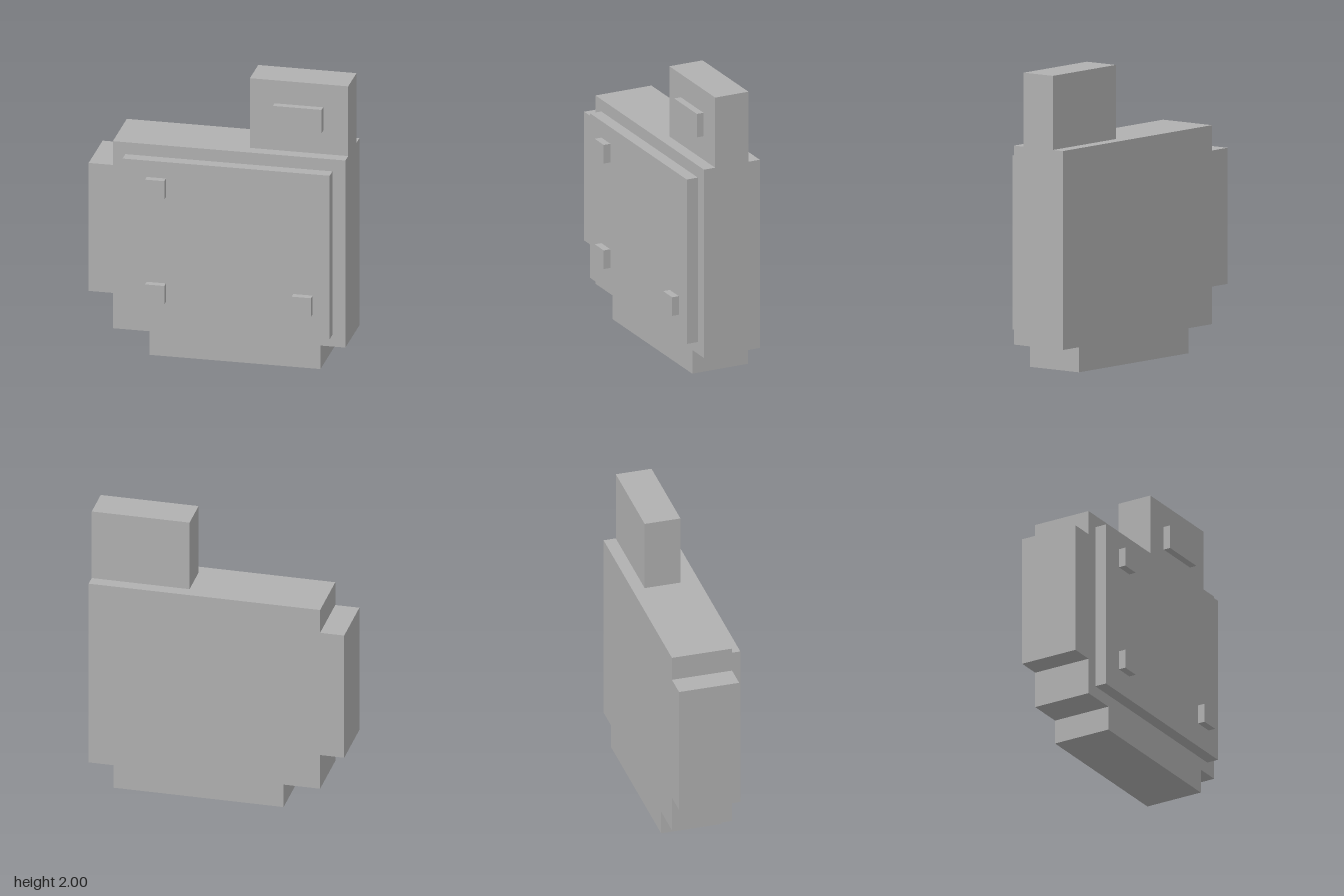
import * as THREE from 'three';

const grey = new THREE.MeshStandardMaterial({ color: 0xb0b0b0 });
grey.name = 'plain grey';

// Box given by its extents on each axis
function block(name, [x0, x1], [y0, y1], [z0, z1]) {
  const mesh = new THREE.Mesh(new THREE.BoxGeometry(x1 - x0, y1 - y0, z1 - z0), grey);
  mesh.position.set((x0 + x1) / 2, (y0 + y1) / 2, (z0 + z1) / 2);
  mesh.name = name;
  return mesh;
}

export function createModel() {
  const model = new THREE.Group();
  model.name = 'steppedBlock';

  // Main body: stepped outline with side lug and foot, extruded front to back
  const back = -0.275, front = 0.142;
  const outline = new THREE.Shape([
    [-0.46, 0], [0.705, 0], [0.705, 0.168], [0.875, 0.168], [0.875, 1.503], [-0.71, 1.503],
    [-0.71, 1.333], [-0.875, 1.333], [-0.875, 0.42], [-0.71, 0.42], [-0.71, 0.168], [-0.46, 0.168],
  ].map(([x, y]) => new THREE.Vector2(x, y)));
  const body = new THREE.Mesh(
    new THREE.ExtrudeGeometry(outline, { depth: front - back, bevelEnabled: false }), grey);
  body.position.z = back;
  body.name = 'body';
  model.add(body);

  // Raised front panel with three studs
  model.add(block('frontPanel', [-0.625, 0.787], [0.252, 1.418], [front, 0.225]));
  for (const [x, y] of [[-0.395, 1.235], [-0.395, 0.487], [0.605, 0.487]]) {
    model.add(block('stud', [x - 0.066, x + 0.066], [y - 0.066, y + 0.066], [0.225, 0.275]));
  }

  // Tower on top with its raised plate
  model.add(block('tower', [0.205, 0.875], [1.503, 2], [-0.19, 0.058]));
  model.add(block('towerPlate', [0.373, 0.705], [1.67, 1.836], [0.058, 0.108]));

  return model;
}
